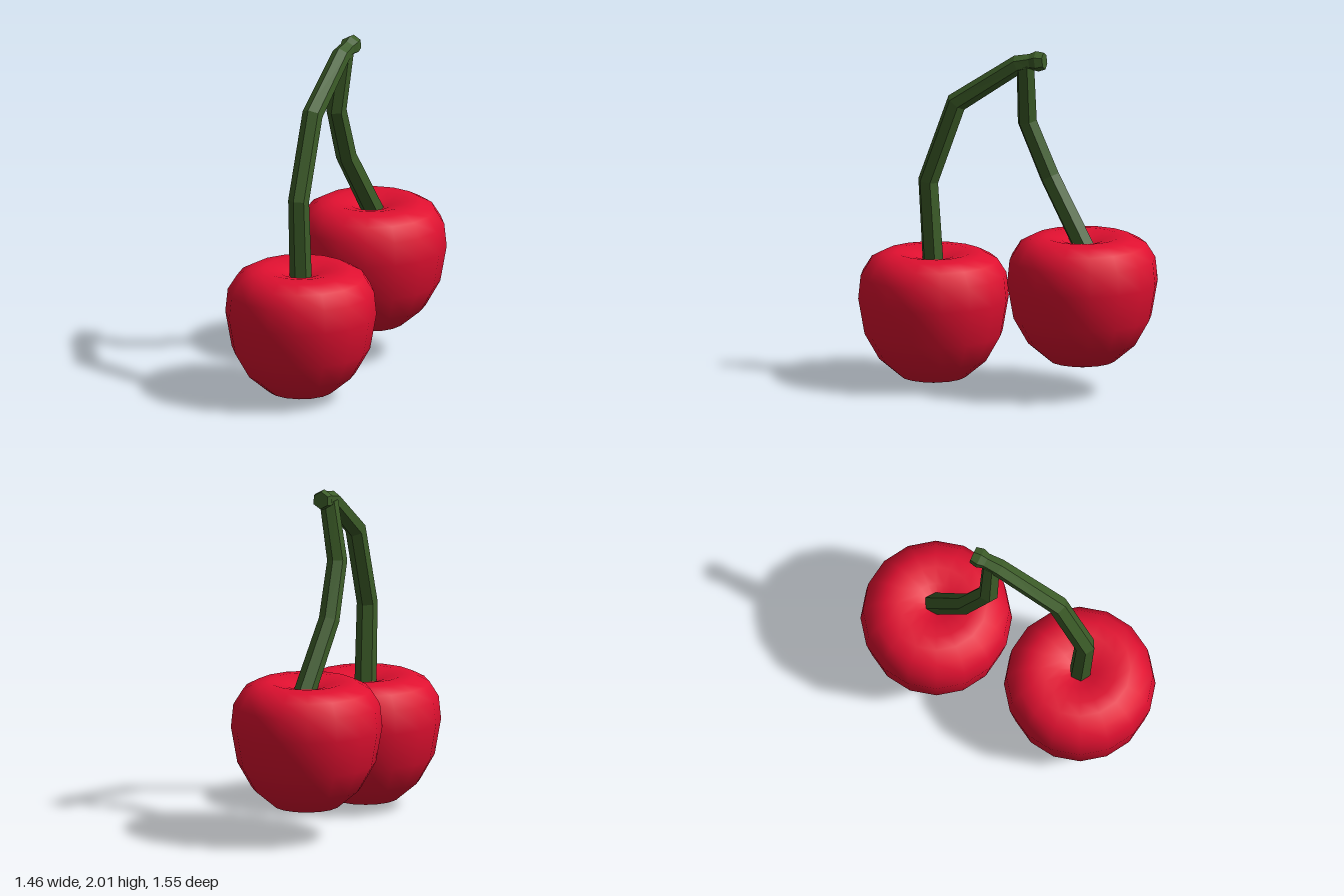
import * as THREE from 'three';

const SIDES = 6;
const SIDE_AXIS = new THREE.Vector3(1, 0, 1).normalize(); // across the plane the stems bend in

// Faceted tube with mitred bends; each row is x, y, z, radius
function stemGeometry(rows) {
  const pts = rows.map(([x, y, z]) => new THREE.Vector3(x, y, z));
  const rings = rows.map(([, , , r], i) => {
    const before = pts[i].clone().sub(pts[Math.max(i - 1, 0)]).normalize();
    const after = pts[Math.min(i + 1, pts.length - 1)].clone().sub(pts[i]).normalize();
    const t = before.clone().add(after).normalize();
    const miter = 1 / Math.max(t.dot(i ? before : after), 0.7);
    const n = t.clone().cross(SIDE_AXIS).normalize();
    const s = n.clone().cross(t).normalize();
    return Array.from({ length: SIDES }, (_, j) => {
      const a = ((j + 0.5) / SIDES) * Math.PI * 2;
      return pts[i].clone()
        .addScaledVector(s, Math.cos(a) * r)
        .addScaledVector(n, Math.sin(a) * r * miter);
    });
  });
  const pos = [];
  const tri = (...v) => v.forEach((p) => pos.push(p.x, p.y, p.z));
  const last = rings.length - 1;
  for (let j = 0; j < SIDES; j++) {
    const k = (j + 1) % SIDES;
    for (let i = 0; i < last; i++) {
      tri(rings[i][j], rings[i][k], rings[i + 1][k]);
      tri(rings[i][j], rings[i + 1][k], rings[i + 1][j]);
    }
    tri(pts[0], rings[0][k], rings[0][j]);
    tri(pts[last], rings[last][j], rings[last][k]);
  }
  const geo = new THREE.BufferGeometry();
  geo.setAttribute('position', new THREE.Float32BufferAttribute(pos, 3));
  geo.computeVertexNormals();
  return geo;
}

export function createModel() {
  const red = new THREE.MeshStandardMaterial({ color: 0xe01030 });
  red.name = 'cherry red';
  const green = new THREE.MeshStandardMaterial({ color: 0x3c5c28, flatShading: true });
  green.name = 'stem green';
  const model = new THREE.Group();
  model.name = 'cherries';

  const add = (name, geo, mat, x = 0, y = 0, z = 0) => {
    const mesh = new THREE.Mesh(geo, mat);
    mesh.name = name;
    mesh.position.set(x, y, z);
    model.add(mesh);
  };

  // Fruit: round body with a shallow dimple on top
  const profile = [
    [0, 0], [0.19, 0.045], [0.315, 0.15], [0.4, 0.3], [0.437, 0.51], [0.423, 0.645],
    [0.37, 0.73], [0.295, 0.77], [0.215, 0.778], [0.12, 0.757], [0.05, 0.725], [0, 0.7],
  ].map(([r, y]) => new THREE.Vector2(r, y));
  const fruit = new THREE.LatheGeometry(profile, 16, 0.08);
  add('frontCherry', fruit, red, -0.295, 0.005, 0.337);
  add('backCherry', fruit, red, 0.295, 0.158, -0.34);

  // Long stem ending in a thicker knob
  add('frontStem', stemGeometry([
    [-0.295, 0.68, 0.337, 0.064],
    [-0.315, 1.2, 0.362, 0.06],
    [-0.2, 1.675, 0.235, 0.059],
    [0.04, 1.925, -0.045, 0.054],
    [0.095, 1.945, -0.105, 0.048],
    [0.12, 1.952, -0.132, 0.06],
    [0.15, 1.957, -0.165, 0.05],
  ]), green);

  // Short stem hanging below the knob
  add('backStem', stemGeometry([
    [0.325, 0.84, -0.355, 0.064],
    [0.115, 1.26, -0.215, 0.06],
    [0.03, 1.58, -0.11, 0.058],
    [0.07, 1.93, -0.08, 0.054],
  ]), green);

  return model;
}
